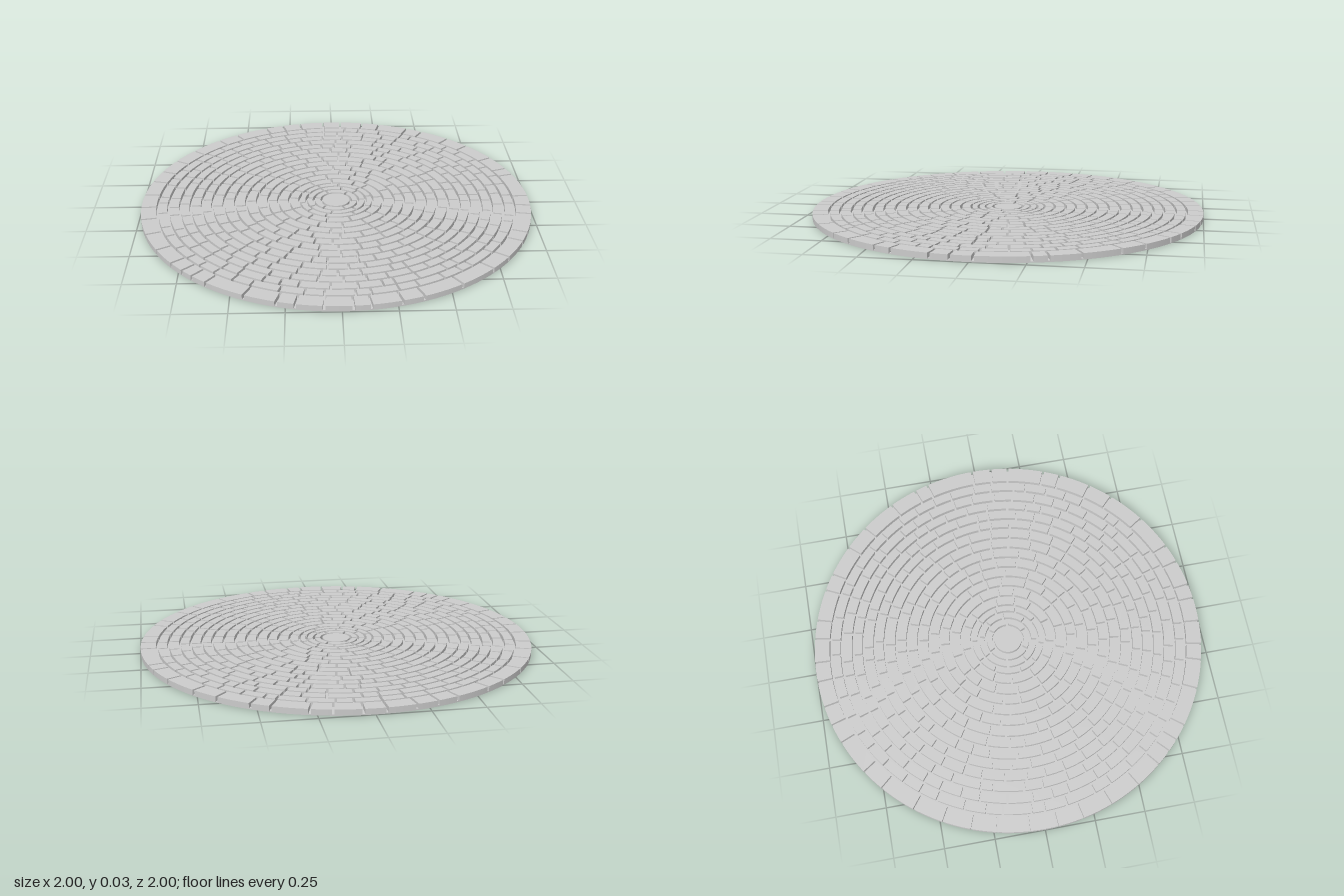
import * as THREE from 'three';
import { mergeGeometries } from 'three/addons/utils/BufferGeometryUtils.js';

const TOP = 0.03, BED = 0.006, GAP = 0.012;
const RAD = Math.PI / 180;

// Radii of the joint lines between the courses, from the centre out
const COURSES = [0.076, 0.115, 0.153, 0.19, 0.243, 0.3, 0.353, 0.409,
  0.465, 0.522, 0.58, 0.639, 0.692, 0.749, 0.803, 0.862, 0.918];

// Joint angles of the large rim stones, in degrees from +x towards +z
const RIM_JOINTS = [5, 10.4, 21.7, 27, 37, 44.7, 56.5, 68.3, 74.3, 82.5, 87.1, 94.6,
  102, 107, 116, 128, 133, 137, 142, 150.5, 160, 169, 176.5, 184.6, 193.6, 200.7,
  209, 218, 229, 236, 247, 253, 259, 267, 273, 280.6, 286.5, 296.5, 302, 312, 320,
  331.3, 340, 344.3, 359];

function seeded(seed) {
  return () => {
    seed = (seed * 16807) % 2147483647;
    return seed / 2147483647;
  };
}

// One curved stone between two radii and two joints of constant width
function stone(r0, r1, a0, a1) {
  const i = GAP / 2 / r0, o = GAP / 2 / r1;
  const s = new THREE.Shape();
  s.absarc(0, 0, r1, a0 + o, a1 - o, false);
  s.absarc(0, 0, r0, a1 - i, a0 + i, true);
  s.closePath();
  const g = new THREE.ExtrudeGeometry(s, {
    depth: TOP - BED / 2, bevelEnabled: false,
    curveSegments: Math.max(3, Math.ceil((a1 - a0) / 0.045)),
  });
  return g.rotateX(Math.PI / 2).translate(0, TOP, 0);
}

function course(r0, r1, joints) {
  return mergeGeometries(joints.map((a, k) =>
    stone(r0, r1, a, k + 1 < joints.length ? joints[k + 1] : joints[0] + Math.PI * 2)));
}

// Uneven joints, about one stone length apart
function unevenJoints(radius, rand) {
  const n = Math.max(6, Math.round(Math.PI * 2 * radius / 0.108));
  const step = Math.PI * 2 / n, start = rand() * step;
  return Array.from({ length: n }, (_, k) => start + (k + (rand() - 0.5) * 0.5) * step);
}

export function createModel() {
  const model = new THREE.Group();
  model.name = 'roundPaving';
  const material = new THREE.MeshStandardMaterial({ color: 0xcccccc });
  const rand = seeded(4711);
  const add = (name, geometry) => {
    const mesh = new THREE.Mesh(geometry, material);
    mesh.name = name;
    model.add(mesh);
  };

  // Thin bed under the joints
  add('beddingDisc', new THREE.CylinderGeometry(0.997, 0.997, BED, 128).translate(0, BED / 2, 0));

  // Round middle stone
  const centreHeight = TOP - BED / 2;
  add('centreStone', new THREE.CylinderGeometry(0.07, 0.07, centreHeight, 40)
    .translate(0, TOP - centreHeight / 2, 0));

  // Courses of small stones
  for (let k = 0; k + 1 < COURSES.length; k++) {
    const r0 = COURSES[k] + GAP / 2, r1 = COURSES[k + 1] - GAP / 2;
    add(`stoneCourse${k + 1}`, course(r0, r1, unevenJoints((r0 + r1) / 2, rand)));
  }

  // Broad stones along the rim
  add('rimCourse', course(COURSES.at(-1) + GAP / 2, 1, RIM_JOINTS.map((d) => d * RAD)));
  return model;
}
